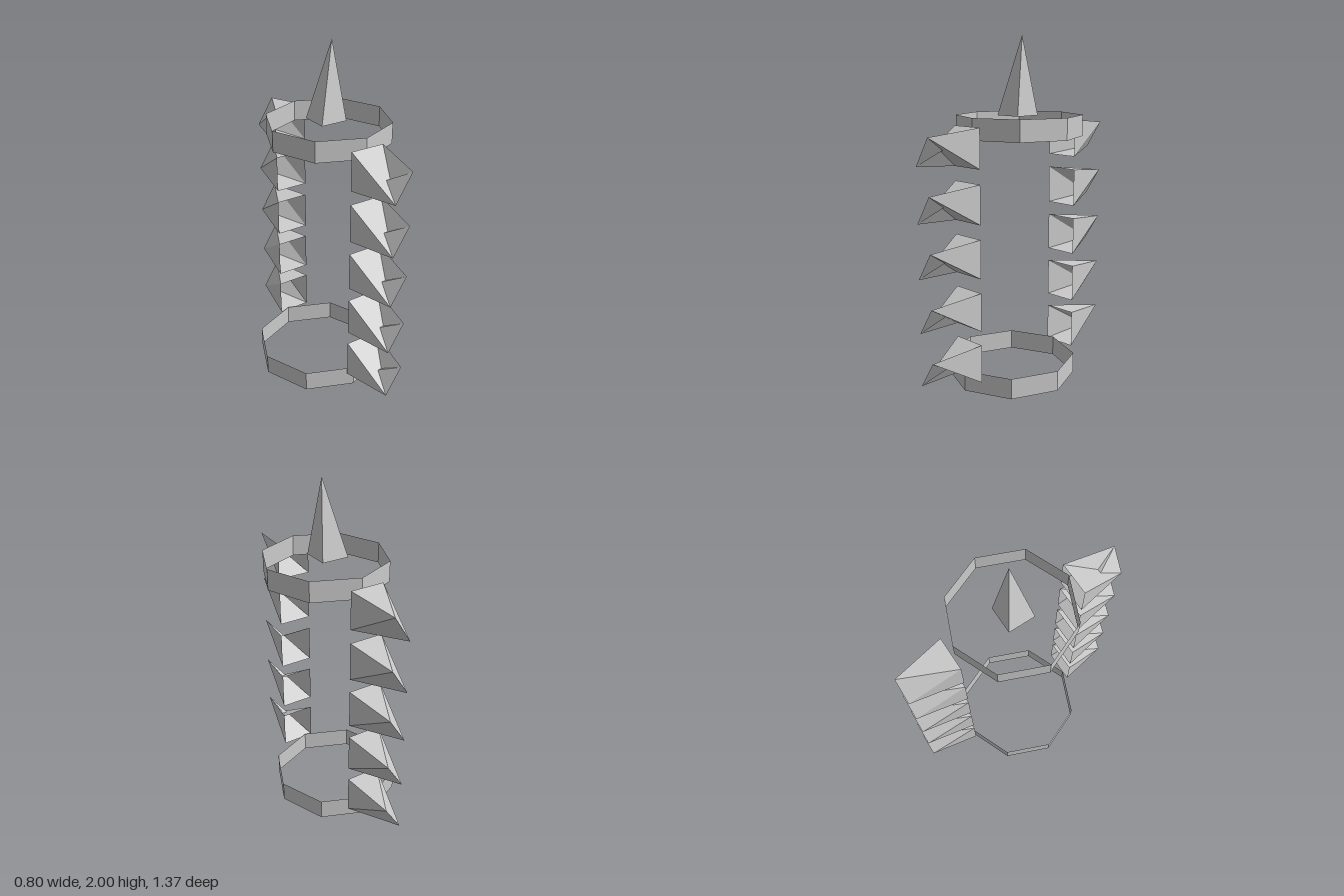
import * as THREE from 'three';

const material = new THREE.MeshStandardMaterial({
  color: 0xcccccc, flatShading: true, side: THREE.DoubleSide,
});

function addMesh(parent, name, geometry, x = 0, y = 0, z = 0) {
  const mesh = new THREE.Mesh(geometry, material);
  mesh.name = name;
  mesh.position.set(x, y, z);
  parent.add(mesh);
  return mesh;
}

// Faceted geometry from named corners and triangles written as letter triples
function faceted(corners, triangles, reversed = false) {
  const points = [];
  for (const t of triangles) {
    const letters = reversed ? [...t].reverse() : [...t];
    for (const k of letters) points.push(...corners[k]);
  }
  const geometry = new THREE.BufferGeometry();
  geometry.setAttribute('position', new THREE.Float32BufferAttribute(points, 3));
  geometry.computeVertexNormals();
  return geometry;
}

// Side spike: open square mouth a-b-c-d narrowing to a slanted tip edge e-f
function sideSpike(side) {
  const zIn = 0.38 * side, zOut = 0.686 * side;
  const corners = {
    a: [-0.075, 0.22, zIn], b: [0.125, 0.22, zIn],
    c: [0.125, 0, zIn], d: [-0.075, 0, zIn],
    e: [-0.025, 0.03, zOut], f: [0.075, 0.187, zOut],
  };
  // Front spikes fold inward across the tip, back spikes are convex
  const triangles = side > 0
    ? ['aeb', 'ade', 'dcf', 'cbf', 'bef', 'edf']
    : ['afb', 'aef', 'ade', 'dce', 'cfe', 'cbf'];
  return faceted(corners, triangles, side < 0);
}

export function createModel() {
  const model = new THREE.Group();
  model.name = 'spikedColumn';

  // Thin octagonal bands
  const band = (r) => new THREE.CylinderGeometry(r, r, 0.12, 8, 1, true);
  addMesh(model, 'lowerBand', band(0.376), -0.025, 0.06, 0);
  addMesh(model, 'upperBand', band(0.356), 0.04, 1.504, 0);

  // Leaning four-sided top spike with a closed base
  const top = faceted({
    a: [-0.055, 1.56, -0.08], b: [0.105, 1.56, -0.08],
    c: [0.105, 1.56, 0.08], d: [-0.055, 1.56, 0.08],
    p: [0.06, 2, 0],
  }, ['dcp', 'cbp', 'bap', 'adp', 'abc', 'acd']);
  addMesh(model, 'topSpike', top);

  // Five spikes up the front and five up the back
  for (const [name, side] of [['frontSpike', 1], ['backSpike', -1]]) {
    const geometry = sideSpike(side);
    for (let i = 0; i < 5; i++) addMesh(model, name + (i + 1), geometry, 0, 0.1 + 0.3 * i, 0);
  }
  return model;
}
